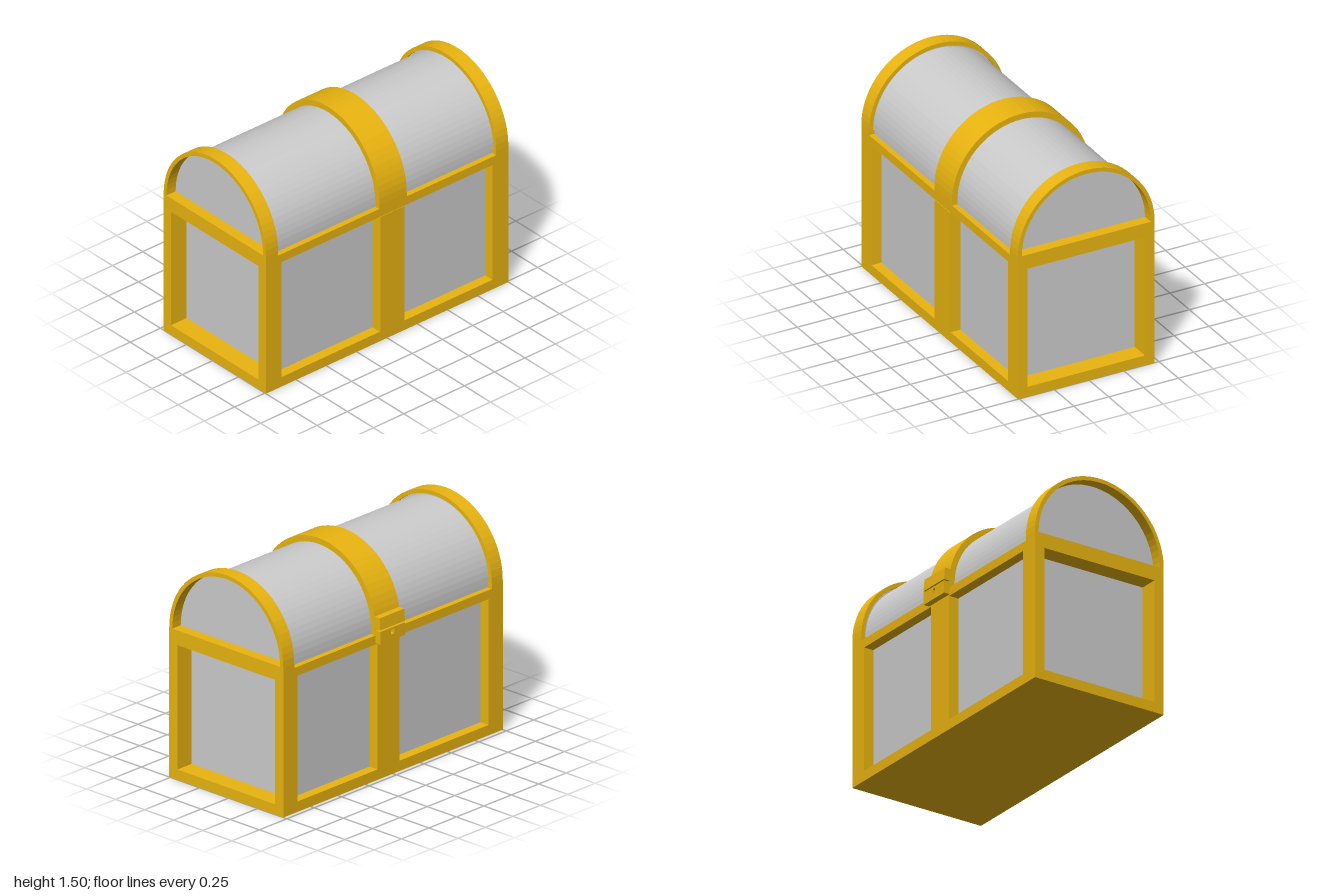
import * as THREE from 'three';

const MID = 0.02; // z of the chest's middle plane
const gold = new THREE.MeshStandardMaterial({ color: 0xe9b410, flatShading: true });
const grey = new THREE.MeshStandardMaterial({ color: 0xcccccc, flatShading: true });

// Arched outline: half circle around y = 1.01 with straight sides down to y = bottom
function trace(path, r, bottom) {
  path.moveTo(r, bottom);
  path.lineTo(r, 1.01);
  path.absarc(0, 1.01, r, 0, Math.PI, false);
  path.lineTo(-r, bottom);
  path.closePath();
  return path;
}

function rect(path, x0, x1, y0, y1) {
  path.moveTo(x0, y0);
  path.lineTo(x1, y0);
  path.lineTo(x1, y1);
  path.lineTo(x0, y1);
  path.closePath();
  return path;
}

const extrude = (shape, depth) =>
  new THREE.ExtrudeGeometry(shape, { depth, bevelEnabled: false, curveSegments: 18 });

export function createModel() {
  const group = new THREE.Group();

  const add = (name, geometry, material) => {
    const mesh = new THREE.Mesh(geometry, material);
    mesh.name = name;
    group.add(mesh);
    return mesh;
  };
  const box = (name, material, x0, x1, y0, y1, z0, z1) =>
    add(name, new THREE.BoxGeometry(x1 - x0, y1 - y0, z1 - z0), material)
      .position.set((x0 + x1) / 2, (y0 + y1) / 2, (z0 + z1) / 2);
  // Profile in the side plane, swept along x from x0 to x1
  const sweep = (name, material, shape, x0, x1, z = MID) =>
    add(name, extrude(shape, x1 - x0).rotateY(Math.PI / 2), material).position.set(x0, 0, z);

  // Recessed panels of the body
  box('bodyPanels', grey, -0.87, 0.87, 0.05, 0.975, -0.40, 0.44);

  // Front and back frames, each with two windows
  for (const [name, z] of [['frontFrame', 0.44], ['backFrame', -0.47]]) {
    const frame = rect(new THREE.Shape(), -1, 1, 0, 0.98);
    frame.holes.push(rect(new THREE.Path(), -0.87, -0.06, 0.07, 0.92));
    frame.holes.push(rect(new THREE.Path(), 0.14, 0.87, 0.07, 0.92));
    add(name, extrude(frame, 0.07), gold).position.z = z;
  }
  box('frontStrap', gold, -0.06, 0.14, 0.07, 0.92, 0.5, 0.514);

  // Base and side rails
  box('base', gold, -1, 1, 0, 0.07, -0.40, 0.44);
  for (const s of [-1, 1]) {
    const [x0, x1] = s < 0 ? [-1, -0.87] : [0.87, 1];
    box('sideRail', gold, x0, x1, 0.91, 0.98, -0.40, 0.44);
  }

  // Barrel lid with end panels
  sweep('lidBarrel', grey, trace(new THREE.Shape(), 0.452, 0.97), -0.91, 0.91);
  sweep('lidEndPanels', grey, trace(new THREE.Shape(), 0.462, 1.0), 0.91, 0.925);
  sweep('lidEndPanels', grey, trace(new THREE.Shape(), 0.462, 1.0), -0.925, -0.91);

  // Arched rims at both ends of the lid
  for (const x of [-1, 0.9]) {
    const rim = trace(new THREE.Shape(), 0.49, 0.98);
    rim.holes.push(trace(new THREE.Path(), 0.463, 1.0095));
    sweep('lidRim', gold, rim, x, x + 0.1);
  }

  // Middle band over the lid
  sweep('lidBand', gold, trace(new THREE.Shape(), 0.492, 0.98), -0.065, 0.16);

  // Latch on the back: tilted upper flap, lower plate with a keyhole
  const flap = new THREE.Shape([
    new THREE.Vector2(0.45, 1.02),
    new THREE.Vector2(0.512, 1.025),
    new THREE.Vector2(0.505, 1.105),
    new THREE.Vector2(0.45, 1.105),
  ]);
  sweep('latchFlap', gold, flap, -0.065, 0.16, 0);

  const plate = rect(new THREE.Shape(), -0.065, 0.16, 0.93, 1.015);
  plate.holes.push(rect(new THREE.Path(), 0.032, 0.062, 0.97, 1.0));
  add('latchPlate', extrude(plate, 0.042), gold).position.z = -0.512;

  return group;
}
